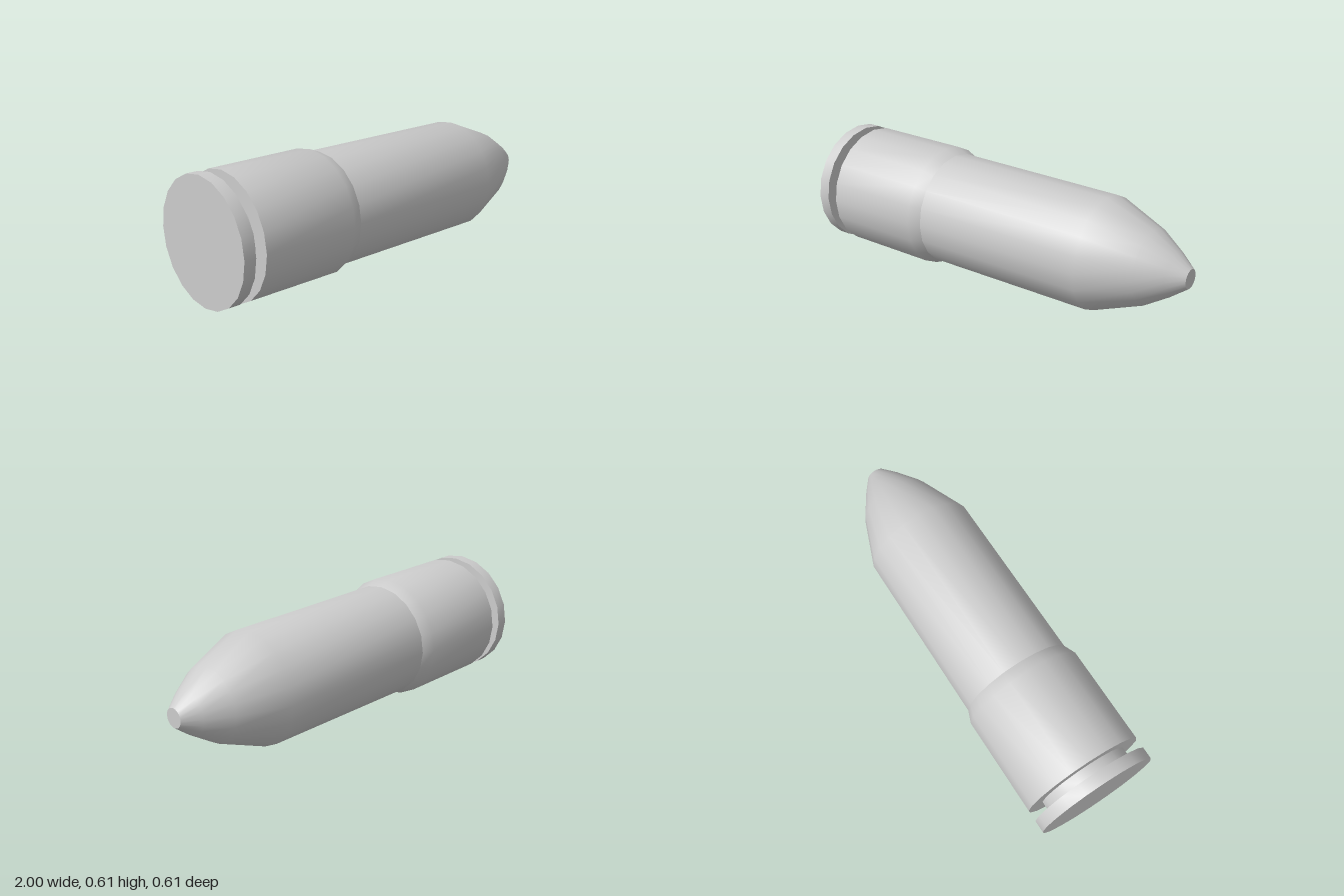
import * as THREE from 'three';
import { toCreasedNormals } from 'three/addons/utils/BufferGeometryUtils.js';

const SIDES = 20;
const AXIS_Y = 0.306;

// Turned part lying along x; profile points are [x, radius], from tail to tip
function turned(name, profile, material) {
  const points = profile.map(([x, r]) => new THREE.Vector2(r, x));
  const geometry = new THREE.LatheGeometry(points, SIDES);
  geometry.rotateZ(-Math.PI / 2);
  const mesh = new THREE.Mesh(toCreasedNormals(geometry, 0.7), material);
  mesh.name = name;
  mesh.position.y = AXIS_Y;
  return mesh;
}

export function createModel() {
  const group = new THREE.Group();
  group.name = 'cartridge';
  const grey = new THREE.MeshStandardMaterial({ color: 0xcccccc, side: THREE.DoubleSide });

  // Rim disc, extractor groove, wide body and shoulder
  group.add(turned('casing', [
    [-1, 0], [-1, 0.305],
    [-0.94, 0.305], [-0.94, 0.228],
    [-0.885, 0.228], [-0.885, 0.305],
    [-0.39, 0.305], [-0.33, 0.281],
  ], grey));

  // Straight neck running into the curved nose with a flat tip
  group.add(turned('projectile', [
    [-0.33, 0.281], [0.56, 0.277],
    [0.805, 0.181], [0.923, 0.106],
    [1, 0.047], [1, 0],
  ], grey));

  return group;
}
